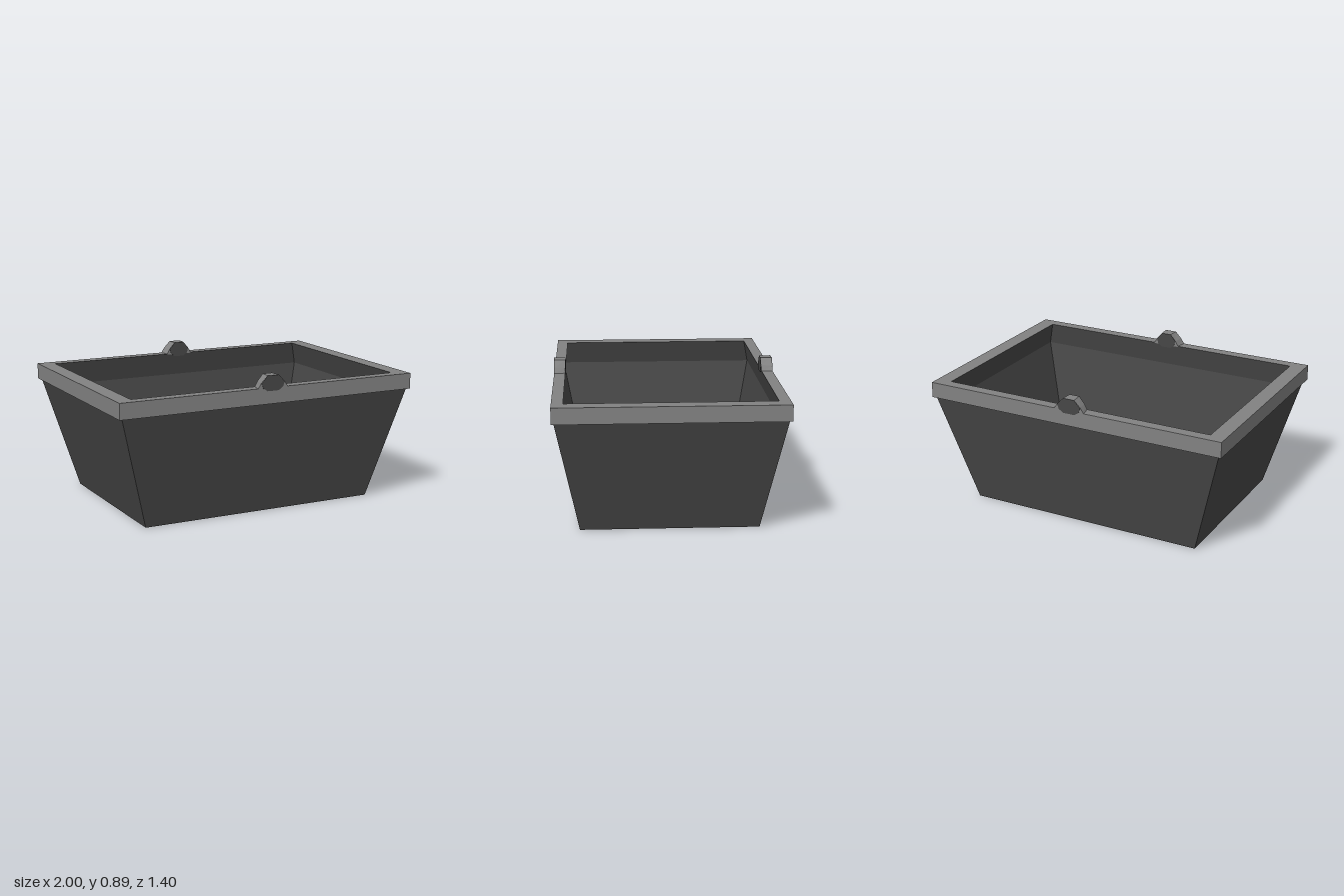
import * as THREE from 'three';

// Flat-faced skin through rectangles given as [half width, height, half depth]
function loftRects(rects) {
  const corners = [[1, 1], [1, -1], [-1, -1], [-1, 1]];
  const point = ([hx, y, hz], i) => [hx * corners[i % 4][0], y, hz * corners[i % 4][1]];
  const pos = [];
  for (let r = 0; r < rects.length - 1; r++) {
    const lo = rects[r], hi = rects[r + 1];
    for (let i = 0; i < 4; i++) {
      const a = point(lo, i), b = point(lo, i + 1), c = point(hi, i + 1), d = point(hi, i);
      if (lo[0] > 0) pos.push(...a, ...b, ...c, ...(hi[0] > 0 ? [...a, ...c, ...d] : []));
      else pos.push(...a, ...c, ...d);
    }
  }
  const g = new THREE.BufferGeometry();
  g.setAttribute('position', new THREE.Float32BufferAttribute(pos, 3));
  g.computeVertexNormals();
  return g;
}

const shapeOf = (pts) => new THREE.Shape(pts.map(([x, y]) => new THREE.Vector2(x, y)));

export function createModel() {
  const darkGrey = new THREE.MeshStandardMaterial({ color: 0x474747 });
  darkGrey.name = 'darkGrey';
  const midGrey = new THREE.MeshStandardMaterial({ color: 0x828282 });
  midGrey.name = 'midGrey';

  const model = new THREE.Group();
  model.name = 'tub';
  const add = (parent, name, geometry, material) => {
    const mesh = new THREE.Mesh(geometry, material);
    mesh.name = name;
    parent.add(mesh);
    return mesh;
  };

  // Tapered outside, including the underside
  add(model, 'outerShell', loftRects([[0, 0, 0], [0.78, 0, 0.545], [0.98, 0.715, 0.685]]), darkGrey);

  // Rim band: underside, outer face and top
  add(model, 'rim', loftRects([
    [0.975, 0.715, 0.68], [1, 0.715, 0.7], [1, 0.815, 0.7], [0.9, 0.815, 0.63],
  ]), midGrey);

  // Inside: undercut lip, sloping walls and floor
  add(model, 'innerShell', loftRects([
    [0.9, 0.815, 0.63], [0.94, 0.665, 0.66], [0.765, 0.02, 0.53], [0, 0.02, 0],
  ]), darkGrey);

  // Lugs on the long sides, narrowing toward the inside
  const lugShape = shapeOf([
    [-0.105, 0.81], [0.105, 0.81], [0.08, 0.848], [0.038, 0.89], [-0.038, 0.89], [-0.08, 0.848],
  ]);
  const lugGeometry = new THREE.ExtrudeGeometry(lugShape, { depth: 0.07, bevelEnabled: false });
  lugGeometry.translate(0, 0, 0.63);
  const p = lugGeometry.attributes.position;
  for (let i = 0; i < p.count; i++) if (p.getZ(i) < 0.65) p.setX(i, p.getX(i) * 0.87);
  lugGeometry.computeVertexNormals();

  // Dark face plates on both ends of each lug
  const plateGeometry = new THREE.ExtrudeGeometry(shapeOf([
    [-0.038, 0.795], [0.038, 0.795], [0.068, 0.815], [0.08, 0.845],
    [0.038, 0.89], [-0.038, 0.89], [-0.08, 0.845], [-0.068, 0.815],
  ]), { depth: 0.003, bevelEnabled: false });

  for (const [name, turn] of [['frontLug', 0], ['backLug', Math.PI]]) {
    const lug = new THREE.Group();
    lug.name = name;
    lug.rotation.y = turn;
    add(lug, 'lugBody', lugGeometry, midGrey);
    add(lug, 'outerPlate', plateGeometry, darkGrey).position.z = 0.699;
    const inner = add(lug, 'innerPlate', plateGeometry, darkGrey);
    inner.position.z = 0.628;
    inner.scale.x = 0.87;
    model.add(lug);
  }
  return model;
}
